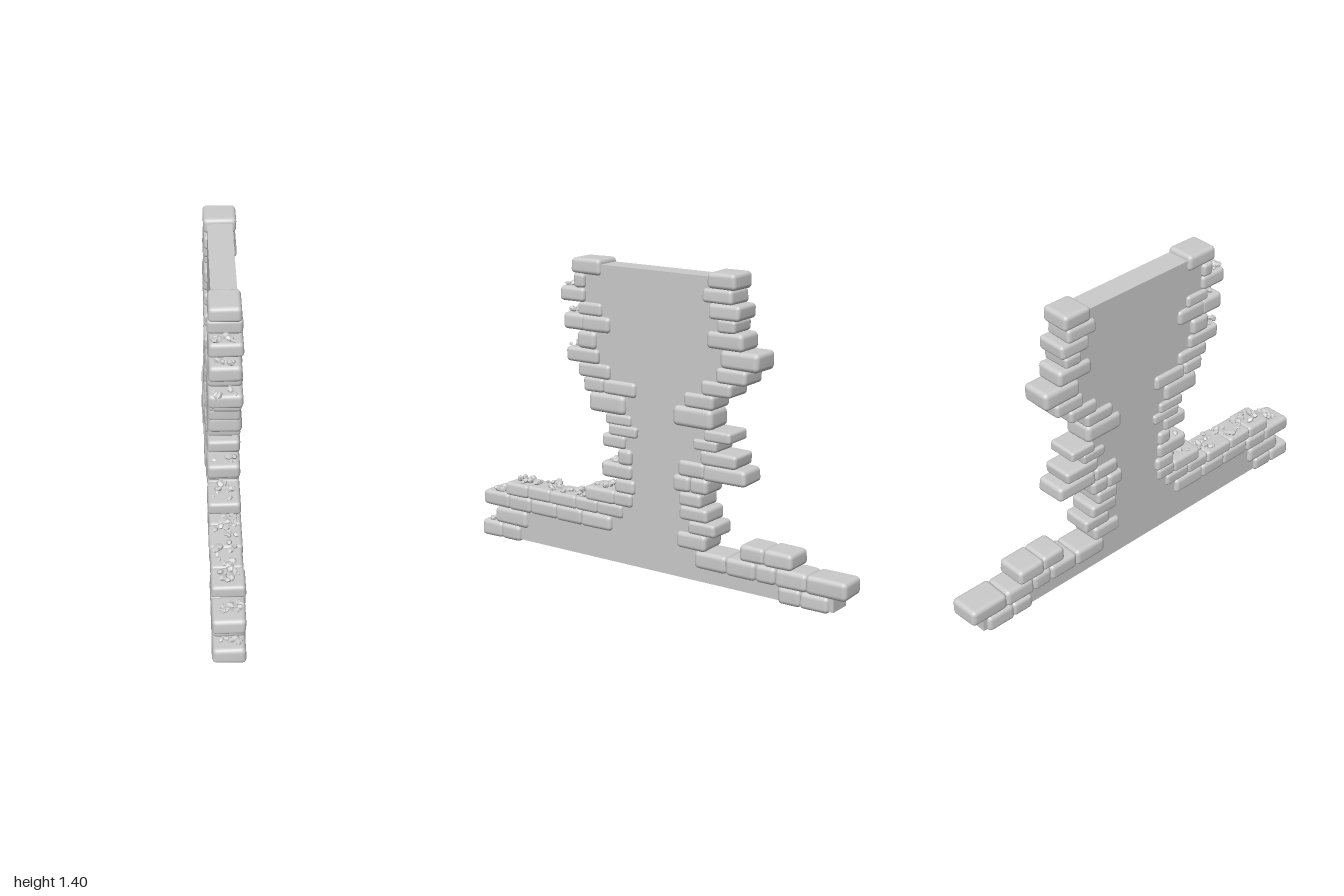
import * as THREE from 'three';
import { mergeVertices } from 'three/addons/utils/BufferGeometryUtils.js';
import { RoundedBoxGeometry } from 'three/addons/geometries/RoundedBoxGeometry.js';

// Heights of the joints between the stone courses
const JOINTS = [0, 0.073, 0.153, 0.225, 0.285, 0.348, 0.411, 0.482, 0.552, 0.613, 0.661,
  0.709, 0.796, 0.861, 0.924, 0.989, 1.069, 1.143, 1.198, 1.263, 1.326, 1.395];

// Ragged edges of the tall part: one stone per course, as distances [inner, outer] from the middle
const FRONT_EDGE = { side: 1, firstCourse: 3, spans: [
  [0.16, 0.305], [0.105, 0.21], [0.09, 0.2], [0.105, 0.275], [0.105, 0.18], [0.14, 0.27],
  [0.075, 0.23], [0.11, 0.25], [0.14, 0.34], [0.083, 0.262], [0.225, 0.4], [0.285, 0.465],
  [0.3, 0.405], [0.222, 0.38], [0.27, 0.4], [0.36, 0.497], [0.36, 0.42], [0.275, 0.437]] };
const BACK_EDGE = { side: -1, firstCourse: 2, spans: [
  [0.14, 0.295], [0.2, 0.345], [0.155, 0.305], [0.15, 0.27], [0.205, 0.3], [0.145, 0.285],
  [0.265, 0.45], [0.225, 0.35], [0.285, 0.42], [0.12, 0.325], [0.175, 0.33], [0.265, 0.42],
  [0.34, 0.495], [0.36, 0.555], [0.29, 0.475], [0.345, 0.437], [0.303, 0.46], [0.265, 0.42], [0.293, 0.437]] };

// Low walls and extra stones: course, z start, z end, number of stones in the run
const RUNS = [
  [0, 0.765, 1, 2], [0, -0.915, -0.665, 2],
  [1, 0.72, 0.92, 1], [1, -0.555, -0.235, 2], [1, -0.655, -0.55, 1], [1, -1, -0.65, 2],
  [2, 0.22, 0.99, 5], [2, -0.735, -0.47, 2], [3, 0.3, 0.845, 4],
  [4, 0.2, 0.37, 1], [6, -0.21, -0.12, 1], [7, -0.495, -0.28, 1],
  [12, 0.26, 0.373, 1], [16, 0.36, 0.485, 1],
];

// Rubble heaps: course they lie level with, z start, z end, number of pieces
const RUBBLE = [
  [3, 0.86, 0.94, 12], [4, 0.68, 0.81, 13], [4, 0.56, 0.67, 7], [4, 0.37, 0.52, 18],
  [5, 0.23, 0.35, 11], [7, 0.2, 0.26, 5], [15, 0.415, 0.475, 6], [17, 0.42, 0.475, 5],
  [19, 0.435, 0.485, 6], [1, 0.925, 0.96, 7],
];

export function createModel() {
  const wall = new THREE.Group();
  wall.name = 'ruinedWall';
  const stoneMaterial = new THREE.MeshStandardMaterial({ color: 0xcccccc });
  const rubbleMaterial = new THREE.MeshStandardMaterial({ color: 0xcccccc, flatShading: true });

  let seed = 7;
  const random = (min, max) => {
    seed = (seed * 16807) % 2147483647;
    return min + (max - min) * (seed / 2147483647);
  };
  const addGroup = (name) => {
    const group = new THREE.Group();
    group.name = name;
    wall.add(group);
    return group;
  };

  // Worn stone: rounded block with a slight random taper and tilt
  function addStone(group, course, z0, z1) {
    const y0 = JOINTS[course], y1 = JOINTS[course + 1];
    const width = random(0.142, 0.152), height = y1 - y0 + 0.002, length = z1 - z0;
    let geometry = new RoundedBoxGeometry(width, height, length, 3, Math.min(height, length) * 0.27);
    geometry.deleteAttribute('uv');
    geometry.deleteAttribute('normal');
    geometry = mergeVertices(geometry, 1e-5);
    const p = geometry.attributes.position;
    const taperX = random(-0.03, 0.015), taperZ = random(-0.03, 0.03);
    const slope = random(-0.04, 0.04), lean = random(-0.04, 0.04);
    for (let i = 0; i < p.count; i++) {
      const u = p.getX(i) / width * 2, v = p.getY(i) / height * 2, w = p.getZ(i) / length * 2;
      p.setXYZ(i,
        p.getX(i) * (1 + taperX * v - 0.03 * Math.abs(w)),
        p.getY(i) * (1 + slope * w + lean * u),
        p.getZ(i) * (1 + taperZ * v + lean * u * 0.5));
    }
    geometry.computeVertexNormals();
    const mesh = new THREE.Mesh(geometry, stoneMaterial);
    mesh.position.set(random(-0.002, 0.002), (y0 + y1) / 2, (z0 + z1) / 2);
    mesh.name = 'stone';
    group.add(mesh);
  }

  // Tall ragged edges; returns the midline of the stones, from bottom to top
  function addEdge(name, { side, firstCourse, spans }) {
    const group = addGroup(name);
    return spans.map(([inner, outer], i) => {
      const course = firstCourse + i, ends = [side * inner, side * outer];
      addStone(group, course, Math.min(...ends), Math.max(...ends));
      return [side * (inner + outer) / 2, Math.min(1.375, (JOINTS[course] + JOINTS[course + 1]) / 2)];
    });
  }
  const frontLine = addEdge('frontEdge', FRONT_EDGE);
  const backLine = addEdge('backEdge', BACK_EDGE);

  // Low wall runs, with slightly shifted joints
  const lowWalls = addGroup('lowWalls');
  for (const [course, z0, z1, count] of RUNS) {
    const step = (z1 - z0) / count;
    let start = z0;
    for (let i = 1; i <= count; i++) {
      const end = i === count ? z1 : z0 + step * (i + random(-0.12, 0.12));
      addStone(lowWalls, course, start, end + (i < count ? 0.005 : 0));
      start = end;
    }
  }

  // Smooth core slab, its ragged outline running along the middle of the edge stones
  const outline = [
    [-0.935, 0.01], [0.9, 0.01], [0.82, 0.08], [0.82, 0.2],
    ...frontLine, [frontLine.at(-1)[0], 1.375],
    [backLine.at(-1)[0], 1.375], ...backLine.reverse(),
    [-0.3, 0.12], [-0.935, 0.085],
  ];
  const shape = new THREE.Shape(outline.map(([z, y]) => new THREE.Vector2(-z, y)));
  const coreGeometry = new THREE.ExtrudeGeometry(shape, { depth: 0.11, bevelEnabled: false });
  coreGeometry.translate(0, 0, -0.055).rotateY(Math.PI / 2);
  const core = new THREE.Mesh(coreGeometry, stoneMaterial);
  core.name = 'coreSlab';
  wall.add(core);

  // Loose rubble on the broken ledges
  const chip = new THREE.DodecahedronGeometry(1, 0);
  const shard = new THREE.IcosahedronGeometry(1, 0);
  for (const [course, z0, z1, count] of RUBBLE) {
    const heap = addGroup('rubbleHeap');
    for (let n = 0; n < count; n++) {
      const piece = new THREE.Mesh(n % 2 ? chip : shard, rubbleMaterial);
      const s = random(0.012, 0.024);
      piece.scale.set(s, s * random(0.45, 0.75), s * random(0.6, 0.9));
      piece.rotation.set(random(-0.5, 0.5), random(0, 6.28), random(-0.5, 0.5));
      piece.position.set(random(-0.05, 0.05), JOINTS[course] + s * random(0.2, 0.7), random(z0, z1));
      piece.name = 'rubblePiece';
      heap.add(piece);
    }
  }

  return wall;
}
